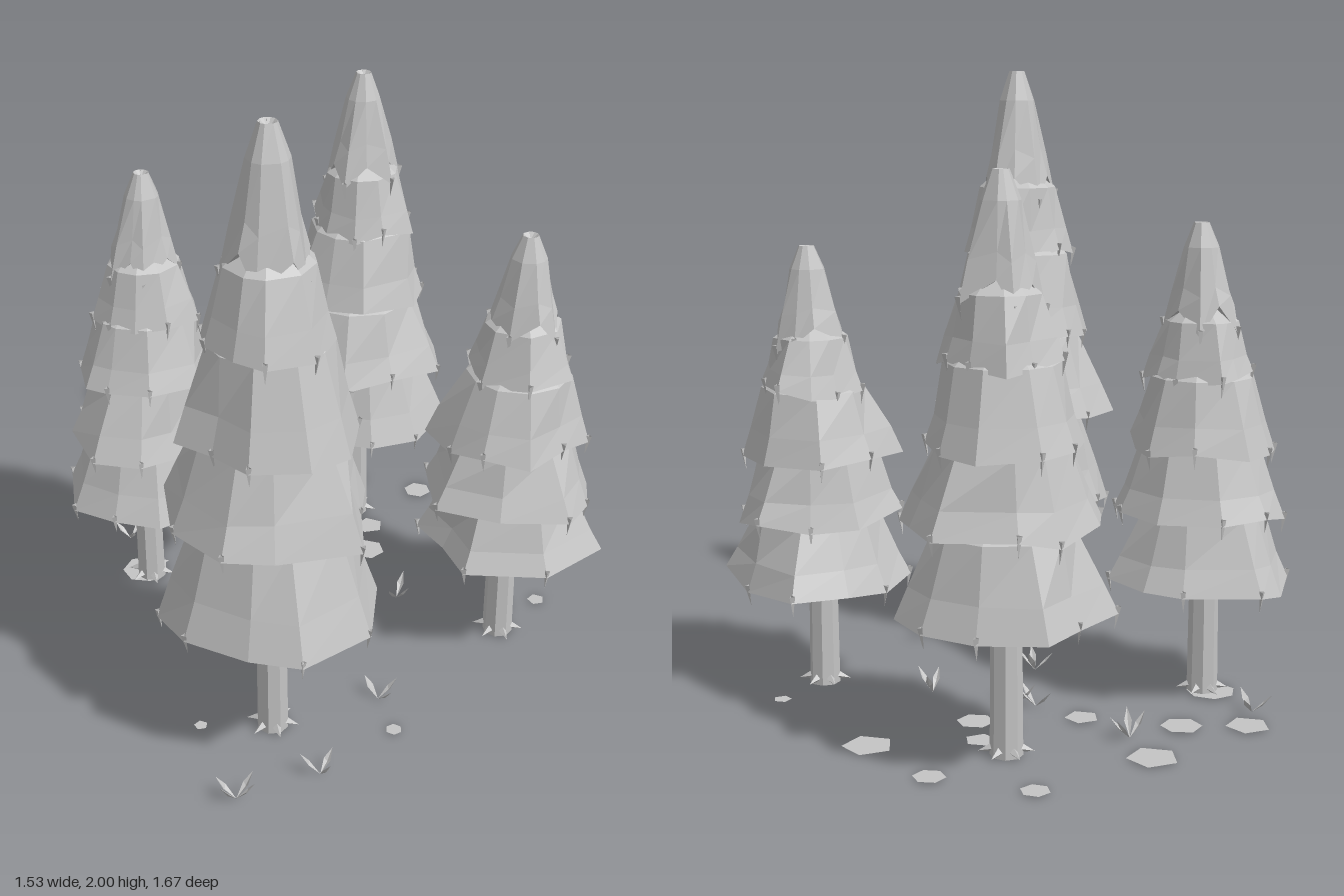
import * as THREE from 'three';

const grey = new THREE.MeshStandardMaterial({ color: 0xc4c4c4, flatShading: true, side: THREE.DoubleSide });
grey.name = 'plain grey';

// small seeded random, range -1..1
let seed = 7;
const rnd = () => {
  seed = (seed * 16807) % 2147483647;
  return (seed / 2147483647) * 2 - 1;
};

function add(parent, geometry, name) {
  const mesh = new THREE.Mesh(geometry, grey);
  mesh.name = name;
  parent.add(mesh);
  return mesh;
}

// skin a stack of rings, listed from bottom to top, each an array of Vector3
function loft(rings) {
  const n = rings[0].length, index = [];
  for (let r = 0; r < rings.length - 1; r++)
    for (let i = 0; i < n; i++) {
      const j = (i + 1) % n, a = r * n, b = a + n;
      index.push(a + j, a + i, b + i, a + j, b + i, b + j);
    }
  const g = new THREE.BufferGeometry().setFromPoints(rings.flat());
  g.setIndex(index);
  g.computeVertexNormals();
  return g;
}

// base centre, lean of the top, height, lowest hem, sideways growth of the second tier,
// and ground outline of the lowest branches
const TREES = [
  { name: 'tallTree', x: -0.44, z: 0.475, lean: [0.01, 0], h: 2.0, hem0: 0.235, second: [0, 0], outline: [
    [-0.76, 0.34], [-0.59, 0.21], [-0.42, 0.21], [-0.25, 0.17], [-0.16, 0.43],
    [-0.13, 0.58], [-0.27, 0.77], [-0.53, 0.82], [-0.65, 0.71], [-0.76, 0.52]] },
  { name: 'smallTree', x: 0.46, z: 0.43, lean: [0.04, 0], h: 1.45, hem0: 0.255, second: [-0.015, 0], outline: [
    [0.24, 0.23], [0.4, 0.15], [0.55, 0.15], [0.73, 0.2], [0.73, 0.45],
    [0.67, 0.67], [0.42, 0.71], [0.2, 0.56], [0.23, 0.4]] },
  { name: 'backRightTree', x: -0.41, z: -0.46, lean: [0.03, 0.01], h: 1.53, hem0: 0.25, second: [0.01, 0], outline: [
    [-0.7, -0.44], [-0.62, -0.64], [-0.47, -0.74], [-0.37, -0.75], [-0.18, -0.59],
    [-0.12, -0.48], [-0.13, -0.31], [-0.32, -0.19], [-0.5, -0.19], [-0.62, -0.29]] },
  { name: 'backLeftTree', x: 0.43, z: -0.45, lean: [0.02, 0], h: 1.72, hem0: 0.25, second: [-0.025, 0.03], outline: [
    [0.2, -0.69], [0.38, -0.72], [0.54, -0.76], [0.67, -0.6], [0.73, -0.43], [0.7, -0.27],
    [0.5, -0.15], [0.33, -0.18], [0.19, -0.31], [0.16, -0.43]] },
];

const UPPER_HEMS = [0.4, 0.54, 0.685, 0.8, 1];
const WIDTHS = [1, 0.96, 0.82, 0.59, 0.39];

function tree({ name, x, z, lean, h, hem0, second, outline }) {
  const group = new THREE.Group();
  group.name = name;
  group.position.set(x, 0, z);
  const hems = [hem0, ...UPPER_HEMS];
  const polar = outline.map(([px, pz]) => ({ a: Math.atan2(pz - z, px - x), r: Math.hypot(px - x, pz - z) }));
  const mean = polar.reduce((s, p) => s + p.r, 0) / polar.length;
  const at = (a, r, y) => new THREE.Vector3(
    Math.cos(a) * r + lean[0] * y / h, y, Math.sin(a) * r + lean[1] * y / h);

  // trunk with a slight flare
  const trunk = add(group, new THREE.CylinderGeometry(0.044, 0.05, 0.45 * h, 8), 'trunk');
  trunk.position.y = 0.225 * h;

  // pointed roots around the foot
  for (let i = 0; i < 6; i++) {
    const root = new THREE.Group();
    root.rotation.y = i * Math.PI / 3 + 0.3;
    root.name = 'root';
    const spike = add(root, new THREE.ConeGeometry(0.02, 0.06, 4), 'rootSpike');
    spike.position.set(0.055, 0.019, 0);
    spike.rotation.z = -Math.PI / 2 - 0.25;
    group.add(root);
  }

  // drooping tiers of branches, the crown with a zigzag hem
  WIDTHS.forEach((w, k) => {
    const last = k === WIDTHS.length - 1;
    const tier = new THREE.Group();
    tier.name = 'tier';
    if (k === 1) tier.position.set(second[0], 0, second[1]);
    group.add(tier);
    const y0 = hems[k] * h, dy = hems[k + 1] * h - y0, turn = k * 2.2;
    const hem = polar.map((p, i) => {
      const zig = last ? (i % 2 ? 1 : -1) : 0;
      return {
        a: p.a + turn,
        r: w * (k ? (mean + (p.r - mean) * 0.7 + rnd() * 0.015) * (1 - 0.1 * zig) : p.r),
        y: y0 + rnd() * 0.02 + zig * 0.022 * h,
      };
    });
    const ring = (f, t, even) => hem.map(p =>
      at(p.a, f * (even ? w * mean : p.r), p.y + (y0 + t * dy - p.y) * Math.min(1, Math.abs(t) * 1.5)));
    const rings = last
      ? [ring(0.35, 0.25, true), ring(1, 0), ring(0.78, 0.45), ring(0.5, 0.75, true), ring(0.22, 1, true), ring(0, 0.93, true)]
      : [ring(0.3, 0.3, true), ring(1, 0), ring(0.87, 0.5), ring(0.7, 1, true), ring(0.3, 1.3, true)];
    add(tier, loft(rings), 'branchTier');

    // slim hanging tips at most of the corners
    hem.forEach((p, i) => {
      if (last ? i % 2 : (i + k) % 3 === 2) return;
      const tip = add(tier, new THREE.ConeGeometry(0.01, 0.07, 3, 1, true), 'branchTip');
      tip.position.copy(at(p.a, p.r * 0.975, p.y - 0.012));
      tip.rotation.set(Math.PI, -p.a, 0.15, 'YXZ');
    });
  });

  // ragged crown tips
  for (let i = 0; i < 4; i++) {
    const tip = add(group, new THREE.ConeGeometry(0.01, 0.04, 3), 'crownTip');
    tip.position.copy(at(i * Math.PI / 2 + 0.4, 0.02, h - 0.02));
  }
  return group;
}

// folded leaf blade leaning outwards along +x
function bladeGeometry() {
  const g = new THREE.BufferGeometry().setFromPoints([
    new THREE.Vector3(0, 0, 0), new THREE.Vector3(0.035, 0.04, 0.012), new THREE.Vector3(0.035, 0.03, 0),
    new THREE.Vector3(0.035, 0.04, -0.012), new THREE.Vector3(0.062, 0.072, 0)]);
  g.setIndex([0, 1, 2, 1, 4, 2, 0, 2, 3, 2, 4, 3]);
  g.computeVertexNormals();
  return g;
}

export function createModel() {
  const model = new THREE.Group();
  model.name = 'pineGrove';
  TREES.forEach(t => model.add(tree(t)));

  // flat ground patches: x, z, radius, sides, turn
  [[-0.275, -0.775, 0.07, 5, 0.6], [-0.12, -0.64, 0.065, 6, 0.3], [0.13, -0.76, 0.08, 5, 0.6], [0.06, -0.385, 0.055, 5, 0.6],
   [0.7, -0.13, 0.08, 5, 0.6], [0.33, -0.19, 0.06, 6, 0.2], [0.71, -0.435, 0.05, 6, 0.2], [-0.065, 0.1, 0.016, 5, 0],
   [-0.13, 0.695, 0.026, 6, 0], [0.42, -0.32, 0.05, 5, 0], [0.55, -0.71, 0.045, 6, 0], [0.67, 0.37, 0.03, 5, 0],
   [-0.64, 0.37, 0.022, 5, 0], [-0.42, -0.49, 0.08, 7, 0]].forEach(([x, z, r, n, turn]) => {
    const patch = add(model, new THREE.CircleGeometry(r, n).rotateX(-Math.PI / 2), 'groundPatch');
    patch.position.set(x, 0.004, z);
    patch.rotation.y = turn;
  });

  // grass tufts: x, z, then the heading of each blade
  const blade = bladeGeometry();
  [[0.065, -0.6, [0.1, 3.1, -0.9, -2.2]], [0.095, -0.21, [1.7, -1.4, -0.7]], [0.115, -0.15, [1.9, -1.1]],
   [-0.135, 0.05, [0.5, 2.5, -0.9, -2.1]], [0.26, 0.11, [0.6, -2.6, -1.4]], [-0.7, 0.715, [0.1, 2.4, -0.9, -2.9]],
   [-0.09, 0.54, [1.8, -0.3, -1.4]], [-0.43, 0.75, [0.4, 2.6, -1.6]], [-0.38, -0.7, [0.3, 2.2, -1.8]]]
    .forEach(([x, z, headings]) => {
      const tuft = new THREE.Group();
      tuft.name = 'grassTuft';
      tuft.position.set(x, 0, z);
      headings.forEach(heading => {
        const leaf = add(tuft, blade, 'grassBlade');
        leaf.rotation.y = heading;
        leaf.scale.y = 0.95 + rnd() * 0.15;
      });
      model.add(tuft);
    });
  return model;
}
